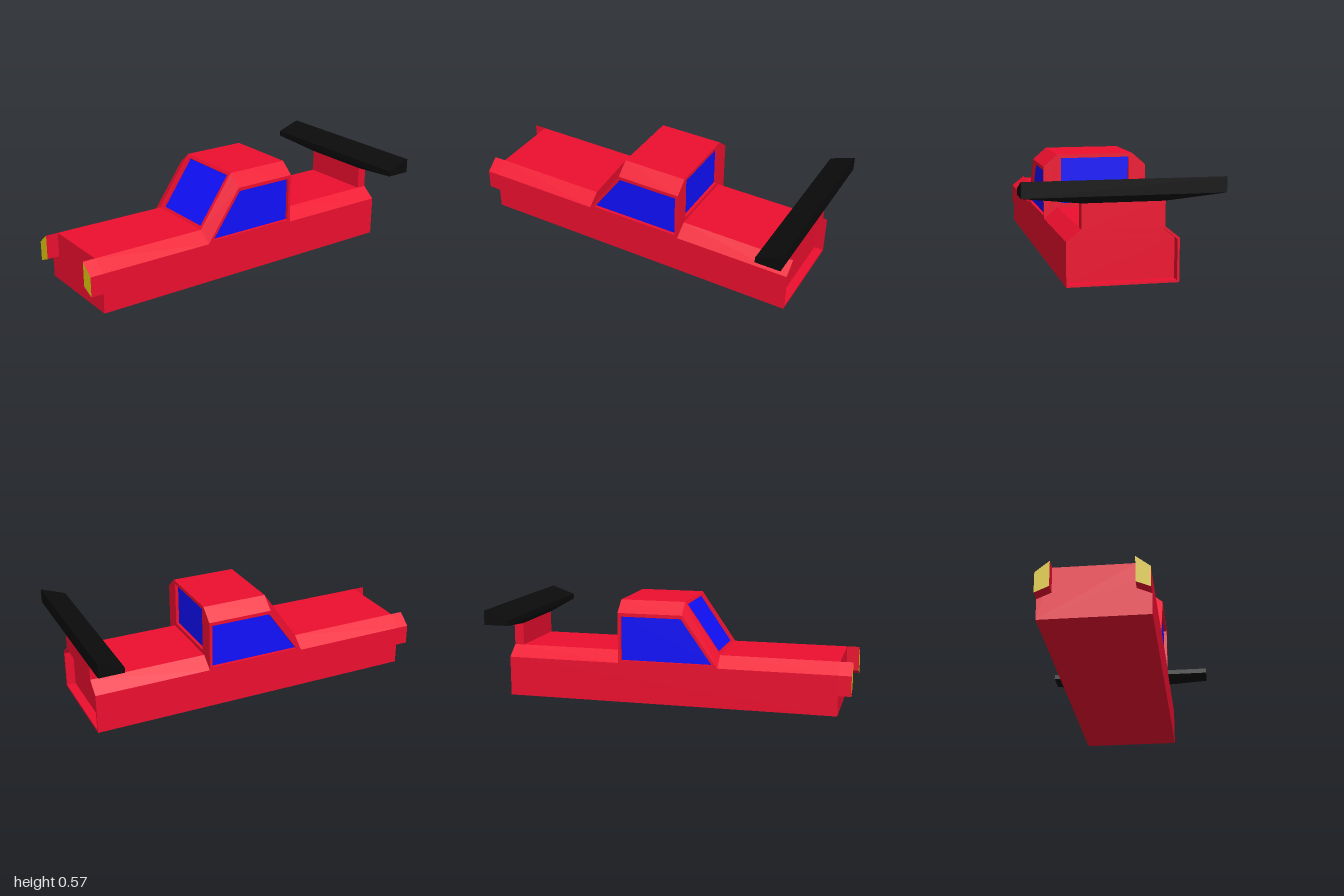
import * as THREE from 'three';

const RED = 0xee0f2f, BLUE = 0x1010ff, YELLOW = 0xdcc610, BLACK = 0x0b0b0b;
const V = (x, y, z) => new THREE.Vector3(x, y, z);

// Convex polygon as a triangle fan, turned to face the direction "out"
function poly(points, out) {
  const n = V(0, 0, 0);
  for (let i = 1; i < points.length - 1; i++) {
    n.add(points[i].clone().sub(points[0]).cross(points[i + 1].clone().sub(points[0])));
  }
  const p = n.dot(out) < 0 ? [...points].reverse() : points;
  const tris = [];
  for (let i = 1; i < p.length - 1; i++) tris.push(p[0], p[i], p[i + 1]);
  return tris;
}

const centre = (pts) => pts.reduce((s, p) => s.add(p), V(0, 0, 0)).divideScalar(pts.length);

// Closed convex solid from its faces
function solid(faces) {
  const mid = centre(faces.flat());
  return faces.flatMap((f) => poly(f, centre(f).sub(mid)));
}

// Border between two loops plus the walls of the recess; the panel sits at the bottom
function recess(outer, inner, out, depth) {
  const n = out.clone().normalize();
  const deep = inner.map((p) => p.clone().addScaledVector(n, -depth));
  const mid = centre(inner);
  const frame = [];
  outer.forEach((a, i) => {
    const j = (i + 1) % outer.length;
    frame.push(...poly([a, outer[j], inner[j], inner[i]], n));
    const wall = [inner[i], inner[j], deep[j], deep[i]];
    frame.push(...poly(wall, mid.clone().sub(centre([inner[i], inner[j]]))));
  });
  return { frame, panel: poly(deep, n) };
}

function makeMesh(name, tris, color) {
  const geometry = new THREE.BufferGeometry().setFromPoints(tris);
  geometry.computeVertexNormals();
  const mesh = new THREE.Mesh(geometry, new THREE.MeshStandardMaterial({ color, flatShading: true }));
  mesh.name = name;
  return mesh;
}

export function createModel() {
  const model = new THREE.Group();
  const add = (name, tris, color) => model.add(makeMesh(name, tris, color));

  const W = 0.285, T = 0.21;            // half widths: sides, flat top
  const SH = 0.225, DECK = 0.285;       // shoulder and deck heights
  const CSH = 0.51, ROOF = 0.575;       // same for the cabin
  const FRONT = 0.93, REAR = -0.955, CAB = -0.3, ROOF_Z = 0.07, COWL = 0.27;
  const up = V(0, 1, 0), front = V(0, 0, 1), back = V(0, 0, -1);

  // Lengthwise stations: z, shoulder height, top height
  const runs = [
    ['rearDeck', [REAR, SH, DECK], [CAB, SH, DECK]],
    ['roof', [CAB, CSH, ROOF], [ROOF_Z, CSH, ROOF]],
    ['windscreenPillars', [ROOF_Z, CSH, ROOF], [COWL, SH, DECK]],
    ['bonnet', [COWL, SH, DECK], [FRONT, SH, DECK]],
  ];
  for (const [name, [z0, s0, t0], [z1, s1, t1]] of runs) {
    const tris = [];
    for (const s of [-1, 1]) {
      tris.push(...poly([V(s * W, s0, z0), V(s * T, t0, z0), V(s * T, t1, z1), V(s * W, s1, z1)], V(s, 1, 0)));
    }
    if (name !== 'windscreenPillars') {
      tris.push(...poly([V(-T, t0, z0), V(T, t0, z0), V(T, t1, z1), V(-T, t1, z1)], up));
    }
    add(name, tris, RED);
  }

  // Lower body: sides, floor and nose
  const hex = (z, inset = 0) => {
    const w = W - inset, t = T - inset * 0.5, b = inset, h = DECK - inset;
    return [V(-w, b, z), V(w, b, z), V(w, SH - inset * 0.5, z), V(t, h, z), V(-t, h, z), V(-w, SH - inset * 0.5, z)];
  };
  const lower = [
    ...poly(hex(FRONT), front),
    ...poly([V(-W, 0, REAR), V(W, 0, REAR), V(W, 0, FRONT), V(-W, 0, FRONT)], V(0, -1, 0)),
  ];
  for (const s of [-1, 1]) {
    lower.push(...poly([V(s * W, 0, REAR), V(s * W, SH, REAR), V(s * W, SH, FRONT), V(s * W, 0, FRONT)], V(s, 0, 0)));
  }
  add('lowerBody', lower, RED);

  // Recessed tail panel
  const tail = recess(hex(REAR), hex(REAR, 0.012), back, 0.05);
  add('tailFrame', tail.frame, RED);
  add('tailPanel', tail.panel, RED);

  // Windows set into the cabin
  const addWindow = (name, outer, inner, out) => {
    const { frame, panel } = recess(outer, inner, out, 0.018);
    add(name + 'Frame', frame, RED);
    add(name, panel, BLUE);
  };
  const slopeZ = (y) => COWL + (ROOF_Z - COWL) * (y - DECK) / (ROOF - DECK);
  const pane = (x, y0, y1, zAt) => [V(-x, y0, zAt(y0)), V(x, y0, zAt(y0)), V(x, y1, zAt(y1)), V(-x, y1, zAt(y1))];
  addWindow('windscreen', pane(T, DECK, ROOF, slopeZ), pane(0.19, 0.3, 0.56, slopeZ),
    V(0, COWL - ROOF_Z, ROOF - DECK));
  addWindow('rearWindow', pane(T, DECK, ROOF, () => CAB), pane(0.19, 0.305, 0.555, () => CAB), back);

  for (const s of [-1, 1]) {
    const side = s > 0 ? 'left' : 'right';
    const at = (pts) => pts.map(([z, y]) => V(s * W, y, z));
    addWindow(side + 'Window',
      at([[COWL, SH], [ROOF_Z, CSH], [CAB, CSH], [CAB, SH]]),
      at([[0.24, 0.24], [0.063, 0.49], [-0.283, 0.49], [-0.283, 0.24]]), V(s, 0, 0));
    add(side + 'RearPillar',
      poly([V(s * T, DECK, CAB), V(s * W, SH, CAB), V(s * W, CSH, CAB), V(s * T, ROOF, CAB)], back), RED);

    // Headlight pods jutting from the nose, with a coloured lens
    const pod = (z) => [V(s * T, 0.145, z), V(s * W, 0.113, z), V(s * W, SH, z), V(s * T, DECK, z)];
    const a = pod(FRONT), b = pod(1);
    add(side + 'HeadlightPod', solid([a, b, ...a.map((p, i) => {
      const j = (i + 1) % 4;
      return [p, a[j], b[j], b[i]];
    })]).filter((_, i) => i < 3 * 2 || i >= 3 * 4), RED);
    add(side + 'HeadlightLens', poly(b, front), YELLOW);
  }

  // Wing: wedge blade tapering underneath to its support
  const rect = (x, z0, z1, y0, y1) => [V(-x, y0, z0), V(x, y0, z0), V(x, y1, z1), V(-x, y1, z1)];
  const S0 = -0.9, S1 = REAR;
  const levels = [rect(T, S0, S1, 0.412, 0.412), rect(0.508, -0.86, -1, 0.45, 0.45), rect(0.508, -0.86, -1, 0.48, 0.53)];
  const bladeFaces = [levels[0], levels[2]];
  for (let k = 0; k < 2; k++) {
    for (let i = 0; i < 4; i++) {
      const j = (i + 1) % 4;
      bladeFaces.push([levels[k][i], levels[k][j], levels[k + 1][j], levels[k + 1][i]]);
    }
  }
  add('wingBlade', solid(bladeFaces), BLACK);

  const support = new THREE.Mesh(
    new THREE.BoxGeometry(2 * T, 0.412 - DECK, S0 - S1),
    new THREE.MeshStandardMaterial({ color: RED, flatShading: true }));
  support.name = 'wingSupport';
  support.position.set(0, (0.412 + DECK) / 2, (S0 + S1) / 2);
  model.add(support);

  return model;
}
